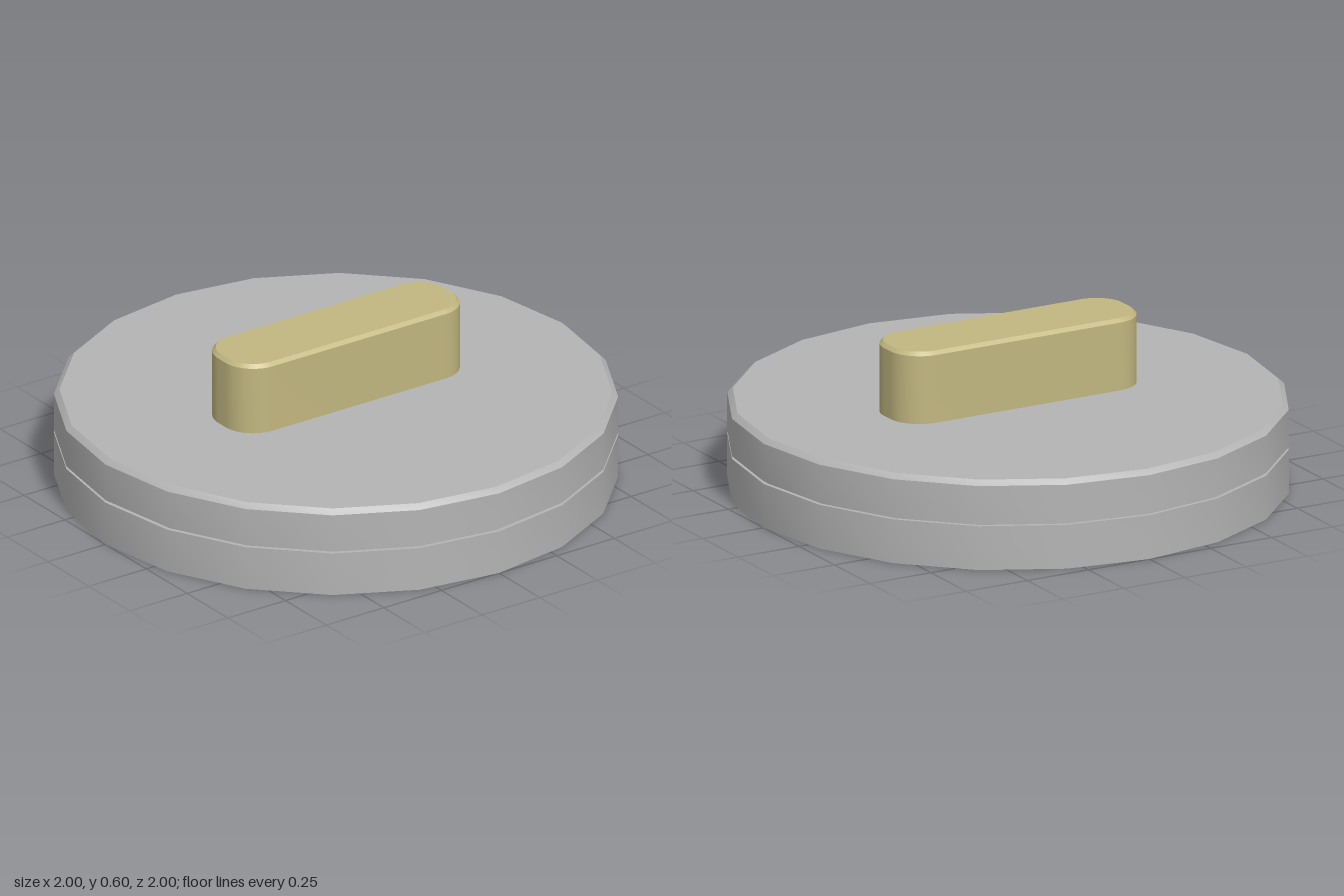
import * as THREE from 'three';
import { toCreasedNormals } from 'three/addons/utils/BufferGeometryUtils.js';

const CREASE = 0.5;

export function createModel() {
  const group = new THREE.Group();
  const grey = new THREE.MeshStandardMaterial({ color: 0xb4b4b4 });
  grey.name = 'steel grey';
  const gold = new THREE.MeshStandardMaterial({ color: 0xc2b780 });
  gold.name = 'pale brass';

  const add = (name, geometry, material) => {
    const mesh = new THREE.Mesh(toCreasedNormals(geometry, CREASE), material);
    mesh.name = name;
    group.add(mesh);
  };

  // Twenty-sided body turned from a profile, with a thin groove and bevelled top rim
  const profile = [
    [0, 0], [1, 0], [1, 0.163], [0.985, 0.163], [0.985, 0.173],
    [1, 0.173], [1, 0.312], [0.98, 0.33], [0, 0.33],
  ].map(([r, y]) => new THREE.Vector2(r, y));
  add('discBody', new THREE.LatheGeometry(profile, 20), grey);

  // Upright grip bar: rounded rectangle with a small bevel around the top
  const bevel = 0.013, w = 0.142 - bevel, l = 0.495 - bevel, r = 0.12 - bevel;
  const outline = new THREE.Shape();
  outline.moveTo(w, -l + r);
  outline.absarc(w - r, l - r, r, 0, Math.PI / 2);
  outline.absarc(-w + r, l - r, r, Math.PI / 2, Math.PI);
  outline.absarc(-w + r, -l + r, r, Math.PI, Math.PI * 1.5);
  outline.absarc(w - r, -l + r, r, Math.PI * 1.5, Math.PI * 2);
  const bar = new THREE.ExtrudeGeometry(outline, {
    depth: 0.595 - 0.31 - 2 * bevel, bevelEnabled: true, bevelSize: bevel,
    bevelThickness: bevel, bevelSegments: 1, curveSegments: 8,
  });
  bar.rotateX(-Math.PI / 2);
  bar.translate(0, 0.31 + bevel, 0);
  add('gripBar', bar, gold);

  return group;
}
